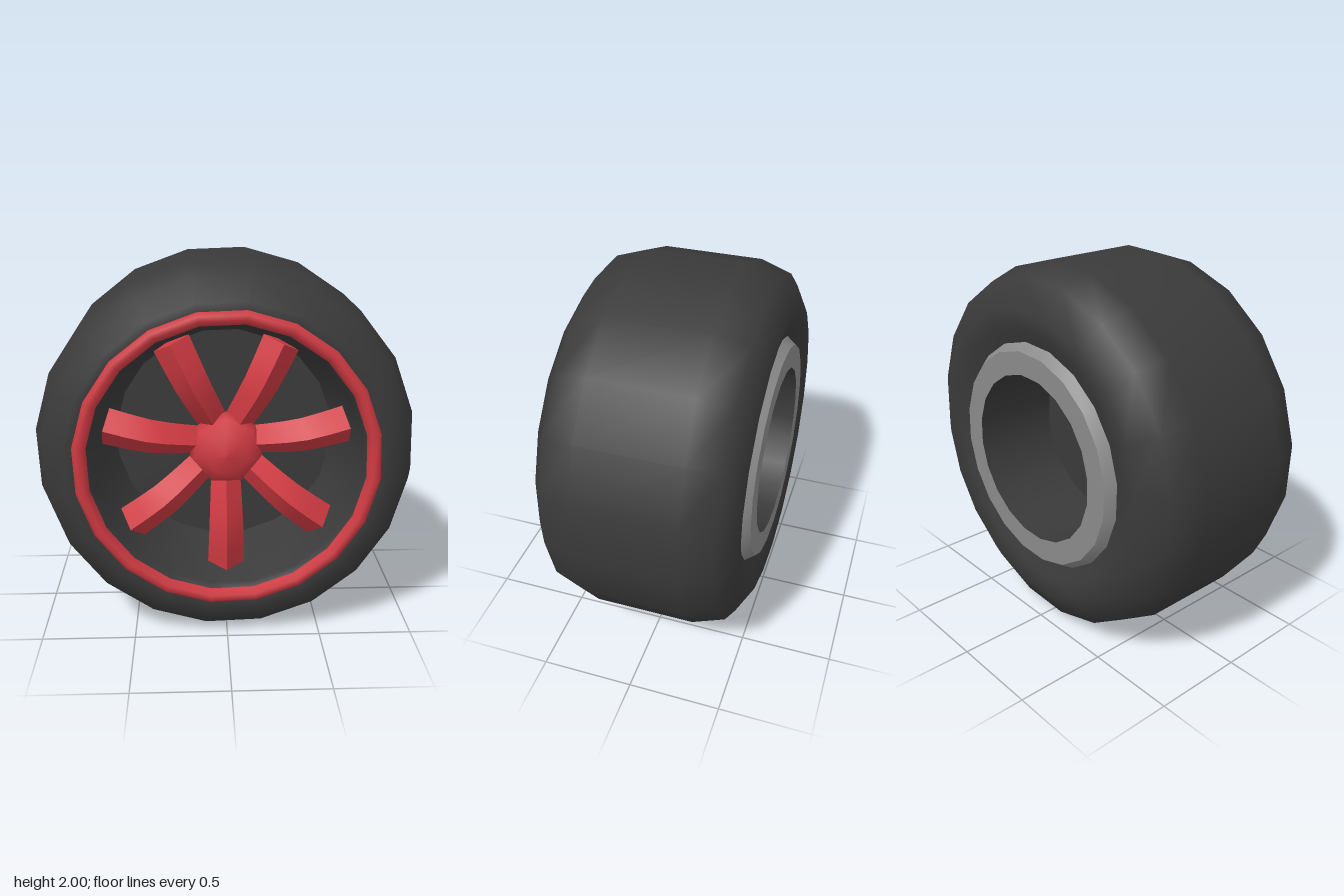
import * as THREE from 'three';
import { toCreasedNormals } from 'three/addons/utils/BufferGeometryUtils.js';

const mat = (name, color) => {
  const m = new THREE.MeshStandardMaterial({ color });
  m.name = name;
  return m;
};

// Surface of revolution around the z axle; points are [radius, z]
function turned(name, points, material, sides = 20, startDeg = 11.1, crease = 0) {
  let geo = new THREE.LatheGeometry(
    points.map(([r, z]) => new THREE.Vector2(r, z)), sides, THREE.MathUtils.degToRad(startDeg));
  geo.rotateX(Math.PI / 2);
  if (crease) geo = toCreasedNormals(geo, crease);
  const mesh = new THREE.Mesh(geo, material);
  mesh.name = name;
  return mesh;
}

// Bowed bar along +y with a diamond section: ridge towards the front
function spokeGeometry() {
  const path = new THREE.CatmullRomCurve3([
    new THREE.Vector3(0, 0.1, 0.18), new THREE.Vector3(0, 0.24, 0.26),
    new THREE.Vector3(0, 0.42, 0.325), new THREE.Vector3(0, 0.645, 0.3),
  ]);
  const steps = 6, depth = 0.1, pos = [], idx = [];
  for (let i = 0; i <= steps; i++) {
    const t = i / steps, p = path.getPoint(t), w = 0.075 + 0.025 * t;
    pos.push(-w, p.y, p.z, 0, p.y + 0.01 * t, p.z + depth, w, p.y, p.z, 0, p.y, p.z - depth);
    if (i === steps) break;
    for (let j = 0; j < 4; j++) {
      const a = i * 4 + j, b = i * 4 + (j + 1) % 4;
      idx.push(a, b, b + 4, a, b + 4, a + 4);
    }
  }
  const e = steps * 4;
  idx.push(e, e + 1, e + 2, e, e + 2, e + 3, 2, 1, 0, 3, 2, 0);
  const geo = new THREE.BufferGeometry();
  geo.setAttribute('position', new THREE.Float32BufferAttribute(pos, 3));
  geo.setIndex(idx);
  return toCreasedNormals(geo, 0.7);
}

export function createModel() {
  const model = new THREE.Group();
  model.name = 'wheel';
  const rubber = mat('dark rubber', 0x3a3a3a);
  const red = mat('red rim', 0xcf3a42);
  const grey = mat('grey metal', 0x8a8a8a);

  const wheel = new THREE.Group();
  wheel.name = 'wheelBody';
  wheel.position.y = 1;
  model.add(wheel);

  // Tyre with dished inner side wall
  wheel.add(turned('tyre', [
    [0.61, -0.47], [0.7, -0.505], [0.8, -0.525], [0.95, -0.44], [1.005, -0.27],
    [1.005, 0.27], [0.95, 0.44], [0.83, 0.52], [0.76, 0.5],
  ], rubber));

  // Front recess, back barrel and the web between them
  wheel.add(turned('frontRecess', [[0.73, 0.5], [0.7, 0.46], [0.6, 0.03]], rubber));
  wheel.add(turned('frontWeb', [[0.6, 0.03], [0, 0.03]], rubber));
  wheel.add(turned('backBarrel', [[0.46, -0.05], [0.46, -0.525]], rubber));
  wheel.add(turned('backWeb', [[0, -0.05], [0.46, -0.05]], rubber));

  // Bevelled metal ring on the back
  wheel.add(turned('backRing', [[0.46, -0.525], [0.585, -0.525], [0.625, -0.47]], grey, 20, 11.1, 0.5));

  // Red lip on the front
  wheel.add(turned('rimLip', [
    [0.79, 0.46], [0.79, 0.51], [0.77, 0.528], [0.745, 0.528], [0.72, 0.51], [0.72, 0.46],
  ], red));

  // Seven-sided domed hub
  wheel.add(turned('hub', [
    [0, 0.12], [0.14, 0.14], [0.2, 0.25], [0.18, 0.32], [0.11, 0.37], [0, 0.39],
  ], red, 7, 180 / 7));

  // Seven spokes, one pointing straight down
  const geo = spokeGeometry();
  for (let k = 0; k < 7; k++) {
    const spoke = new THREE.Mesh(geo, red);
    spoke.name = 'spoke' + (k + 1);
    spoke.rotation.z = Math.PI + (k * Math.PI * 2) / 7;
    wheel.add(spoke);
  }
  return model;
}
